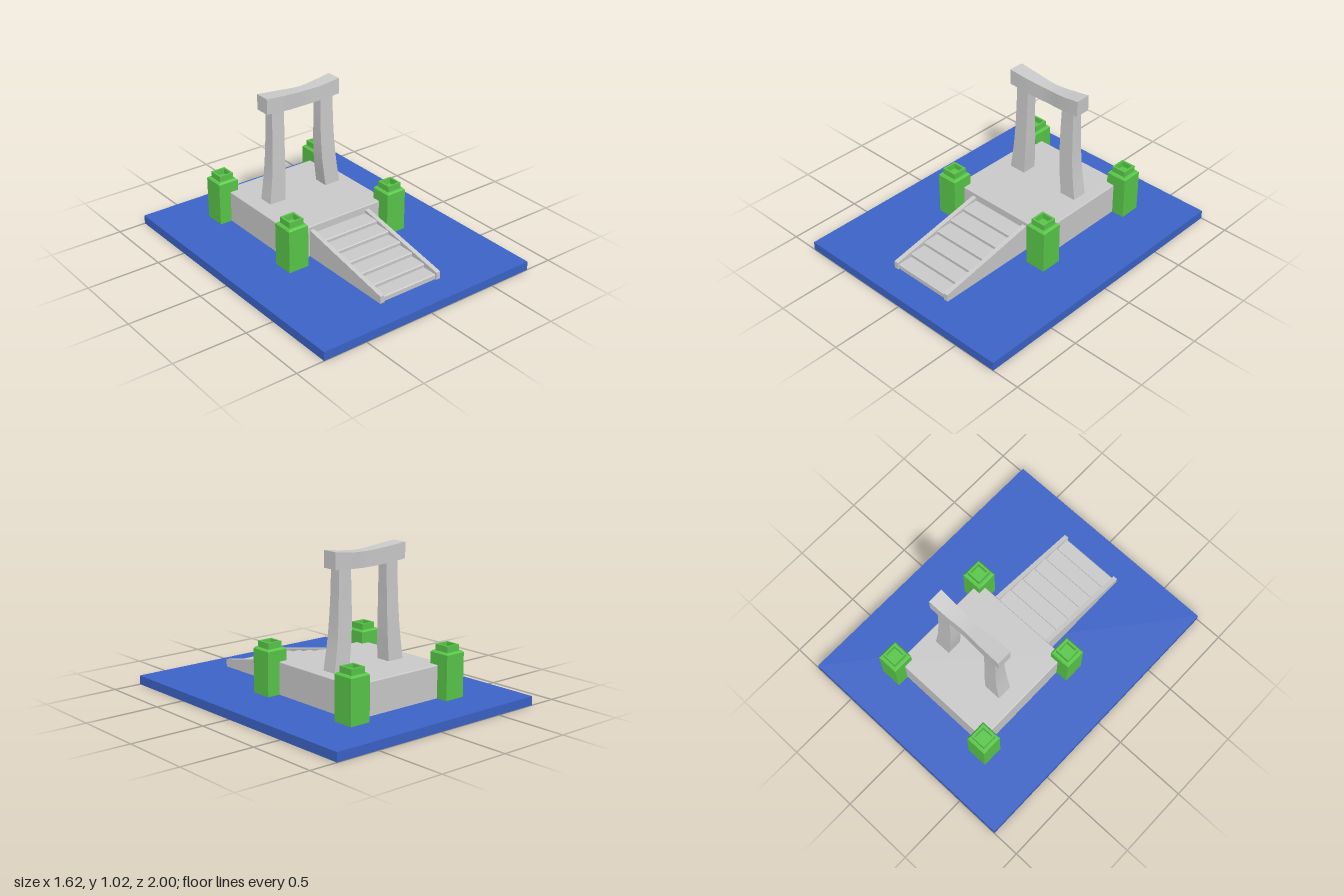
import * as THREE from 'three';
import { RoundedBoxGeometry } from 'three/addons/geometries/RoundedBoxGeometry.js';

const stone = new THREE.MeshStandardMaterial({ color: 0xcccccc });
const green = new THREE.MeshStandardMaterial({ color: 0x5ac84a });
const blue = new THREE.MeshStandardMaterial({ color: 0x3c64c8 });

function add(parent, name, geometry, material, x = 0, y = 0, z = 0) {
  const mesh = new THREE.Mesh(geometry, material);
  mesh.name = name;
  mesh.position.set(x, y, z);
  parent.add(mesh);
  return mesh;
}

// Box whose low and high corners follow two smooth curves along one axis
function curvedBox(axis, low, high) {
  const n = 16;
  const curve = (pts) => new THREE.CatmullRomCurve3(pts.map((p) => new THREE.Vector3(...p)));
  const lo = curve(low), hi = curve(high);
  const geo = new THREE.BoxGeometry(1, 1, 1, axis === 'x' ? n : 1, axis === 'y' ? n : 1, 1);
  const pos = geo.attributes.position;
  const v = new THREE.Vector3();
  for (let i = 0; i < pos.count; i++) {
    v.fromBufferAttribute(pos, i).addScalar(0.5);
    const a = lo.getPoint(v[axis]), b = hi.getPoint(v[axis]);
    pos.setXYZ(i,
      THREE.MathUtils.lerp(a.x, b.x, v.x),
      THREE.MathUtils.lerp(a.y, b.y, v.y),
      THREE.MathUtils.lerp(a.z, b.z, v.z));
  }
  geo.computeVertexNormals();
  return geo;
}

// Side profile given as [z, y] points, extruded from x0 to x1
function sideExtrude(points, x0, x1) {
  const shape = new THREE.Shape(points.map(([z, y]) => new THREE.Vector2(-z, y)));
  const geo = new THREE.ExtrudeGeometry(shape, { depth: x1 - x0, bevelEnabled: false });
  geo.rotateY(Math.PI / 2);
  geo.translate(x0, 0, 0);
  return geo;
}

function squarePath(path, h) {
  path.moveTo(-h, -h);
  path.lineTo(h, -h);
  path.lineTo(h, h);
  path.lineTo(-h, h);
  path.closePath();
  return path;
}

function createPost() {
  const post = new THREE.Group();
  post.name = 'cornerPost';
  add(post, 'postBody', new THREE.BoxGeometry(0.146, 0.29, 0.146), green, 0, 0.205, 0);
  // Narrow chamfer at the shoulder
  const shoulder = new THREE.CylinderGeometry(0.064 * Math.SQRT2, 0.073 * Math.SQRT2, 0.01, 4, 1, false, Math.PI / 4)
    .toNonIndexed();
  shoulder.computeVertexNormals();
  add(post, 'postShoulder', shoulder, green, 0, 0.355, 0);
  // Hollow square rim on top
  const rim = squarePath(new THREE.Shape(), 0.052);
  rim.holes.push(squarePath(new THREE.Path(), 0.039));
  const rimGeo = new THREE.ExtrudeGeometry(rim, { depth: 0.04, bevelEnabled: false });
  rimGeo.rotateX(-Math.PI / 2);
  add(post, 'postRim', rimGeo, green, 0, 0.36, 0);
  return post;
}

function createStairs() {
  const stairs = new THREE.Group();
  stairs.name = 'stairs';
  // Stepped profile with a small chamfer on each nosing
  const edges = [0.23, 0.348, 0.465, 0.58, 0.695, 0.8];
  const profile = [[0.1, 0.06], [0.1, 0.222]];
  edges.forEach((z, i) => {
    const y = 0.222 - i * 0.0255;
    profile.push([z - 0.006, y], [z, y - 0.005], [z, i < 5 ? y - 0.0255 : 0.06]);
  });
  add(stairs, 'steps', sideExtrude(profile, -0.212, 0.207), stone);
  // Sloping side walls
  const wall = [[0.1, 0.06], [0.1, 0.25], [0.81, 0.11], [0.81, 0.06]];
  add(stairs, 'stairWallRight', sideExtrude(wall, -0.241, -0.21), stone);
  add(stairs, 'stairWallLeft', sideExtrude(wall, 0.205, 0.236), stone);
  return stairs;
}

function createArch() {
  const arch = new THREE.Group();
  arch.name = 'arch';
  add(arch, 'rightLeg', curvedBox('y',
    [[-0.27, 0.27, -0.385], [-0.245, 0.485, -0.38], [-0.234, 0.7, -0.373], [-0.23, 0.915, -0.37]],
    [[-0.15, 0.27, -0.28], [-0.142, 0.485, -0.286], [-0.14, 0.7, -0.293], [-0.136, 0.915, -0.298]]), stone);
  add(arch, 'leftLeg', curvedBox('y',
    [[0.18, 0.27, -0.385], [0.156, 0.485, -0.38], [0.15, 0.7, -0.373], [0.155, 0.915, -0.37]],
    [[0.296, 0.27, -0.28], [0.267, 0.485, -0.286], [0.254, 0.7, -0.293], [0.25, 0.915, -0.298]]), stone);
  // Sagging lintel, pinched in the middle
  add(arch, 'lintel', curvedBox('x',
    [[-0.277, 0.915, -0.389], [-0.12, 0.902, -0.384], [0.035, 0.896, -0.376], [0.16, 0.902, -0.384], [0.292, 0.912, -0.389]],
    [[-0.277, 1.02, -0.283], [-0.12, 1.006, -0.286], [0.035, 0.996, -0.295], [0.16, 1.003, -0.286], [0.292, 1.02, -0.283]]), stone);
  return arch;
}

export function createModel() {
  const model = new THREE.Group();
  model.name = 'shrine';

  add(model, 'base', new THREE.BoxGeometry(1.616, 0.06, 2), blue, 0, 0.03, 0);
  add(model, 'platform', new RoundedBoxGeometry(0.756, 0.225, 0.756, 2, 0.007), stone, -0.002, 0.1625, -0.268);
  model.add(createStairs(), createArch());

  for (const x of [-0.393, 0.393]) {
    for (const z of [0.125, -0.655]) {
      const post = createPost();
      post.position.set(x, 0, z);
      model.add(post);
    }
  }
  return model;
}
